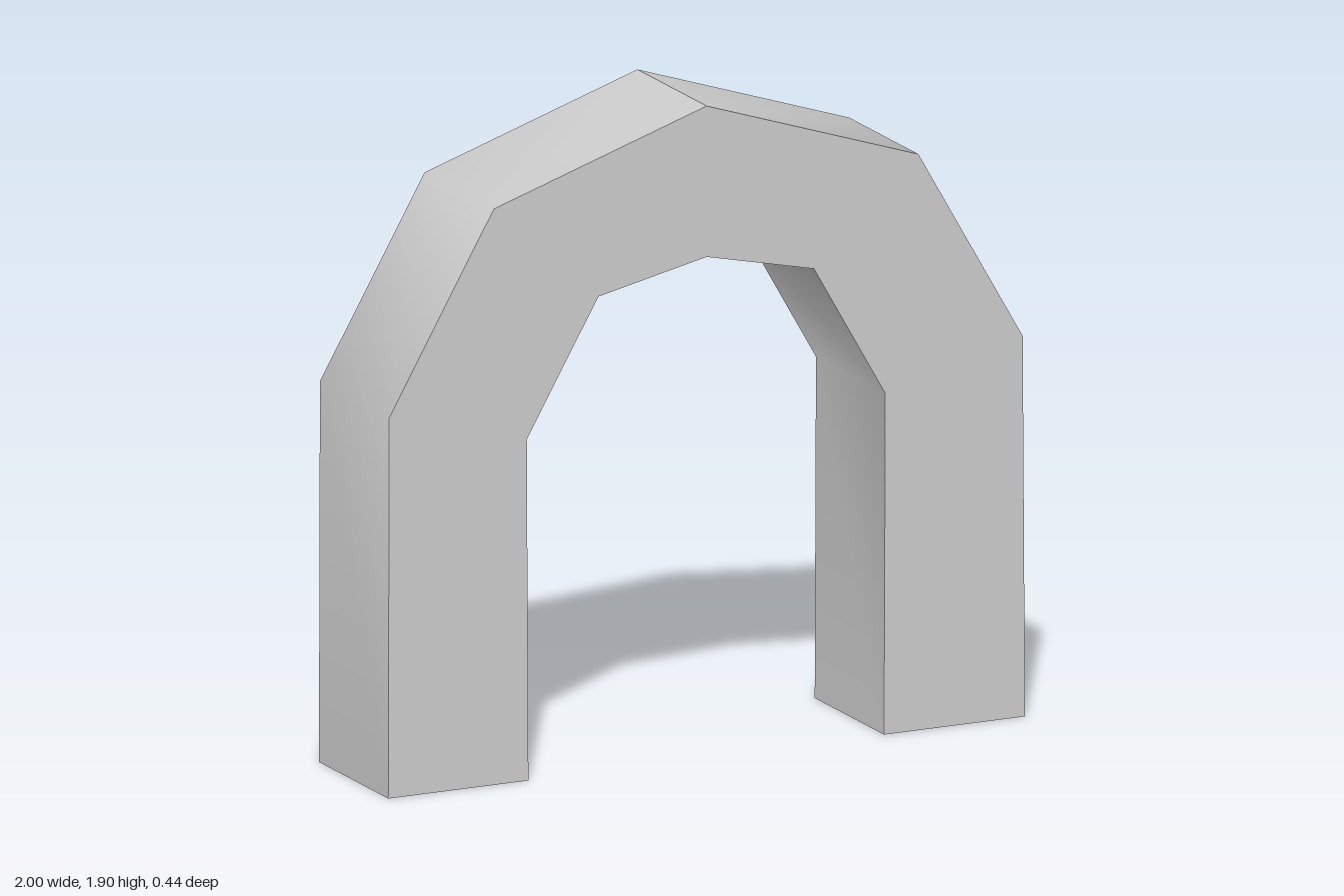
import * as THREE from 'three';

const HALF_DEPTH = 0.22;

// Outline runs, counter-clockwise; shading is smooth inside a run and sharp between runs
const apex = [0, 1.9];
const outerRight = [[1, 0], [0.993, 1.11], [0.665, 1.68], apex];
const outerLeft = [apex, [-0.668, 1.68], [-0.997, 1.11], [-1, 0]];
const leftFoot = [[-1, 0], [-0.56, 0]];
const inner = [
  [-0.56, 0], [-0.565, 0.995], [-0.34, 1.385], [0, 1.46],
  [0.337, 1.385], [0.561, 0.995], [0.557, 0],
];
const rightFoot = [[0.557, 0], [1, 0]];

// Band of quads across the depth, following a run of points
function strip(points) {
  const positions = [], index = [];
  points.forEach(([x, y], i) => {
    positions.push(x, y, HALF_DEPTH, x, y, -HALF_DEPTH);
    if (i === 0) return;
    const a = 2 * (i - 1);
    index.push(a, a + 1, a + 2, a + 1, a + 3, a + 2);
  });
  const geometry = new THREE.BufferGeometry();
  geometry.setAttribute('position', new THREE.Float32BufferAttribute(positions, 3));
  geometry.setIndex(index);
  geometry.computeVertexNormals();
  return geometry;
}

export function createModel() {
  const group = new THREE.Group();
  group.name = 'arch';
  const material = new THREE.MeshStandardMaterial({ color: 0xcccccc });

  const add = (name, geometry) => {
    const mesh = new THREE.Mesh(geometry, material);
    mesh.name = name;
    group.add(mesh);
    return mesh;
  };

  // Outer, inner and bottom surfaces
  const runs = { outerRight, outerLeft, leftFoot, inner, rightFoot };
  for (const [name, points] of Object.entries(runs)) add(name, strip(points));

  // Flat faces; the back one is reversed to face -z
  const outline = Object.values(runs).flatMap((run) => run.slice(0, -1));
  const shape = new THREE.Shape(outline.map(([x, y]) => new THREE.Vector2(x, y)));
  add('frontFace', new THREE.ShapeGeometry(shape).translate(0, 0, HALF_DEPTH));

  const mirrored = new THREE.Shape(outline.map(([x, y]) => new THREE.Vector2(-x, y)).reverse());
  add('backFace', new THREE.ShapeGeometry(mirrored).rotateY(Math.PI).translate(0, 0, -HALF_DEPTH));

  return group;
}
